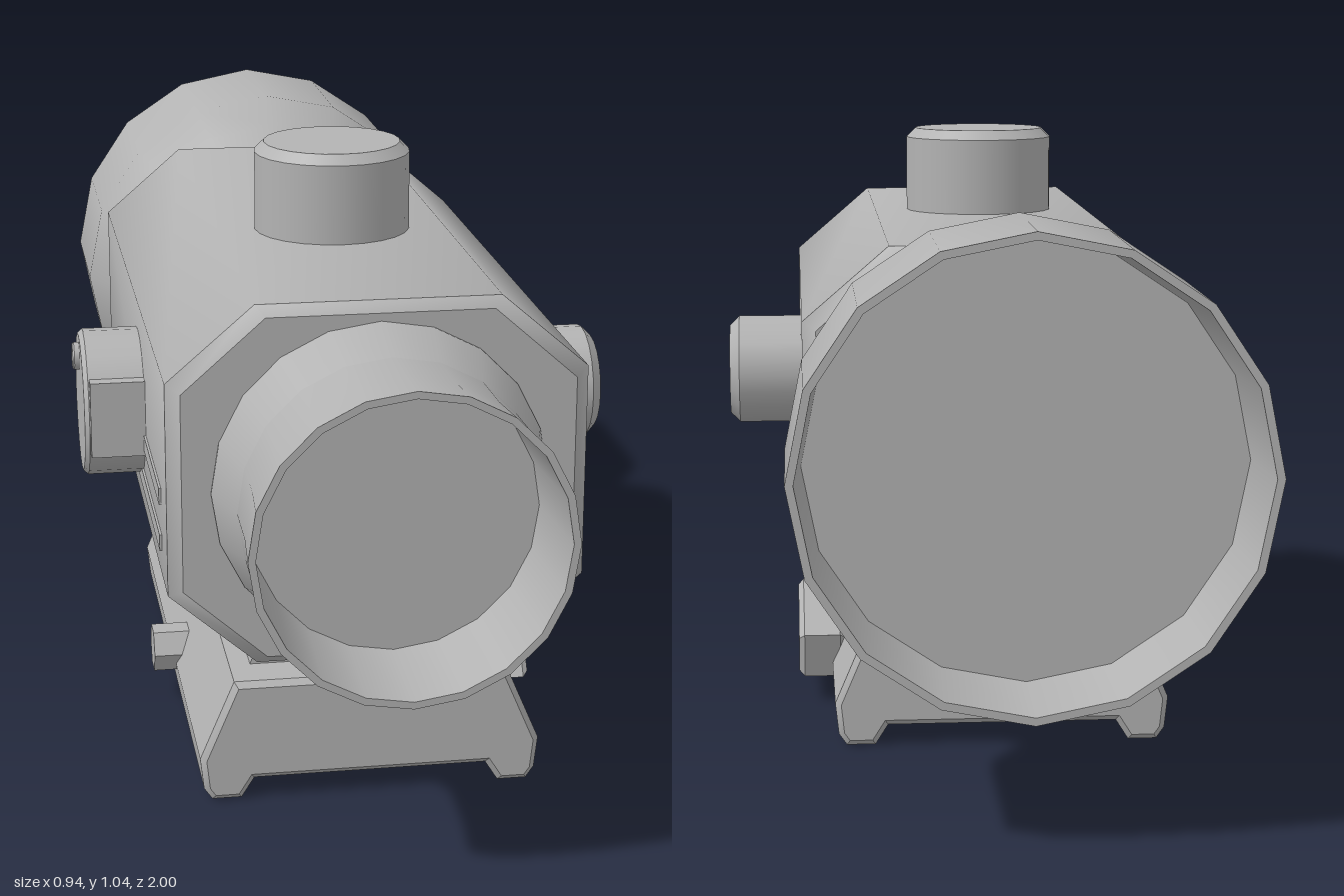
import * as THREE from 'three';
import { mergeGeometries, toCreasedNormals } from 'three/addons/utils/BufferGeometryUtils.js';

const CX = -0.01, CY = 0.58; // optical axis

export function createModel() {
  const group = new THREE.Group();
  const grey = new THREE.MeshStandardMaterial({ color: 0xb3b3b3 });
  grey.name = 'grey metal';

  const add = (name, geometry, x = 0, y = 0, z = 0) => {
    const mesh = new THREE.Mesh(geometry, grey);
    mesh.name = name;
    mesh.position.set(x, y, z);
    group.add(mesh);
    return mesh;
  };
  const shapeOf = pts => new THREE.Shape(pts.map(p => new THREE.Vector2(p[0], p[1])));

  // Lathe along y; a repeated point gives a sharp edge
  const lathe = (pts, sides) =>
    new THREE.LatheGeometry(pts.map(p => new THREE.Vector2(p[0], p[1])), sides);
  const sharp = pts => pts.flatMap((p, i) => (i && i < pts.length - 1 ? [p, p] : [p]));
  const knob = (r, h, bevel, sides) =>
    lathe(sharp([[r, 0], [r, h - bevel], [r - bevel, h], [0, h]]), sides);

  // Bevelled extrusion from z0 to z1 that keeps the given outline
  const extrude = (pts, z0, z1, bevel) => {
    const g = new THREE.ExtrudeGeometry(shapeOf(pts), {
      depth: z1 - z0 - 2 * bevel, bevelEnabled: bevel > 0, bevelSegments: 1,
      bevelSize: bevel, bevelThickness: bevel, bevelOffset: -bevel,
    });
    g.translate(0, 0, z0 + bevel);
    return toCreasedNormals(g, 0.5);
  };

  // Band between two outlines, smooth around and sharp at its ends
  const band = (a, za, b, zb) => {
    const n = a.length, pos = [], index = [];
    a.forEach(p => pos.push(p[0], p[1], za));
    b.forEach(p => pos.push(p[0], p[1], zb));
    for (let i = 0; i < n; i++) {
      const j = (i + 1) % n;
      index.push(i, j, n + j, i, n + j, n + i);
    }
    const g = new THREE.BufferGeometry();
    g.setAttribute('position', new THREE.Float32BufferAttribute(pos, 3));
    g.setIndex(index);
    g.computeVertexNormals();
    return g;
  };

  // Eight-sided housing with bevelled ends
  const octagon = (w, h, cw, ch) => [
    [w, -ch], [w, ch], [cw, h], [-cw, h], [-w, ch], [-w, -ch], [-cw, -h], [cw, -h],
  ];
  const outer = octagon(0.345, 0.305, 0.2, 0.18);
  const inner = octagon(0.322, 0.288, 0.185, 0.167);
  const [back, front, bevel] = [-0.535, 0.69, 0.02];
  const caps = [back, front].map((z, i) => {
    const g = new THREE.ShapeGeometry(shapeOf(inner));
    if (i === 0) g.rotateY(Math.PI);
    g.translate(0, 0, z);
    g.deleteAttribute('uv');
    return g;
  });
  add('housing', mergeGeometries([
    band(inner, back, outer, back + bevel),
    band(outer, back + bevel, outer, front - bevel),
    band(outer, front - bevel, inner, front),
    ...caps,
  ]), CX, CY);

  // Thin ridges along both sides of the housing
  for (const side of [-1, 1]) {
    for (const y of [0.459, 0.54]) {
      add('sideRidge', new THREE.BoxGeometry(0.008, 0.028, 0.97), CX + side * 0.345, y, 0.095);
    }
  }

  // Hollow eyepiece with recessed lens
  const eyepiece = lathe([
    [0.275, 0.68], [0.275, 0.695], [0.275, 0.695], [0.245, 0.79], [0.245, 0.79],
    [0.247, 0.9], [0.255, 1], [0.255, 1], [0.243, 1], [0.243, 1],
    [0.232, 0.82], [0.232, 0.82], [0, 0.82],
  ], 20);
  add('eyepiece', eyepiece.rotateX(Math.PI / 2), CX, CY);

  // Wide objective bell with recessed lens
  const objective = lathe([
    [0, -0.84], [0.35, -0.84], [0.35, -0.84], [0.362, -1], [0.362, -1],
    [0.375, -1], [0.375, -1], [0.375, -0.69], [0.33, -0.61], [0.33, -0.61], [0.28, -0.525],
  ], 16);
  add('objective', objective.rotateX(Math.PI / 2), CX, CY);

  // Adjustment turrets
  add('topTurret', knob(0.137, 0.165, 0.017, 24), -0.008, 0.875, 0.175);
  add('leftTurret', knob(0.103, 0.145, 0.018, 20).rotateZ(-Math.PI / 2), 0.325, 0.578, 0.175);

  // Battery cap with grip bar and small stud
  add('batteryCap', knob(0.13, 0.115, 0.008, 20).rotateZ(Math.PI / 2), -0.345, 0.58, 0.17);
  add('capGripBar', new THREE.BoxGeometry(0.1, 0.135, 0.266), -0.4, 0.585, 0.17);
  add('capStud', knob(0.025, 0.02, 0.003, 12).rotateZ(Math.PI / 2), -0.452, 0.665, 0.17);

  // Riser between housing and mount
  add('riser', extrude([[-0.205, 0.2], [0.205, 0.2], [0.172, 0.29], [-0.172, 0.29]],
    -0.34, 0.535, 0), -0.005);

  // Mount with an open channel underneath
  const half = [[0.2, 0.035], [0.222, 0], [0.272, 0], [0.286, 0.02], [0.292, 0.075], [0.233, 0.213]];
  const mirrored = half.map(([x, y]) => [-x, y]).reverse();
  add('mount', extrude([...half, ...mirrored], -0.415, 0.615, 0.01), -0.008);

  // Clamp lever on one side, hexagonal bolt on the other
  const lever = extrude([[-0.283, 0.042], [0.13, 0.048], [0.16, 0.133], [-0.207, 0.153]],
    0, 0.085, 0.01);
  add('clampLever', lever.rotateY(Math.PI / 2), 0.26);
  const bolt = toCreasedNormals(new THREE.CylinderGeometry(0.043, 0.043, 0.08, 6), 0.5);
  add('clampBolt', bolt.rotateZ(Math.PI / 2), -0.3, 0.098, 0.17);

  return group;
}
